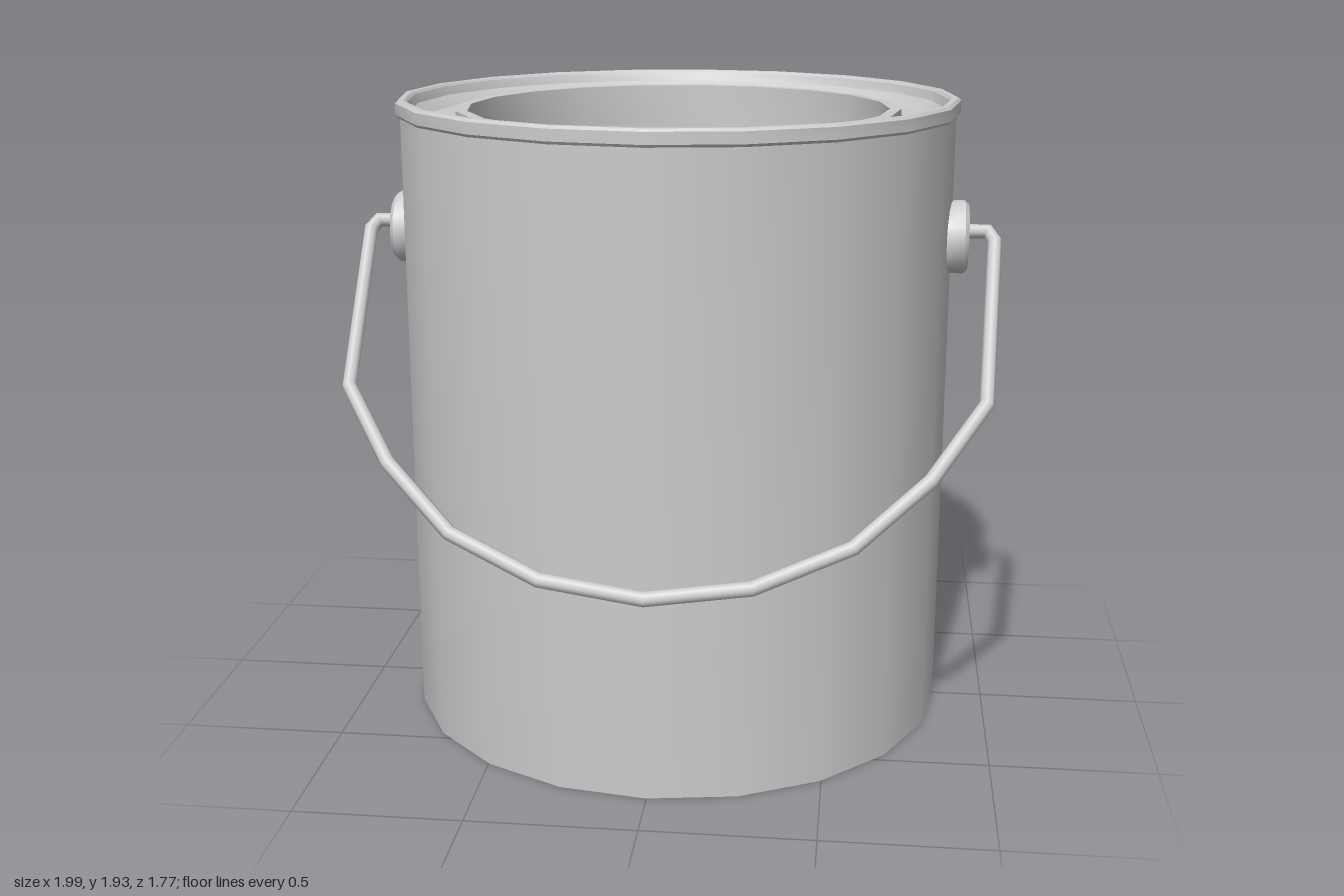
import * as THREE from 'three';
import { toCreasedNormals } from 'three/addons/utils/BufferGeometryUtils.js';

const CENTRE_Z = -0.03; // the can sits slightly back, the handle swings forward
const material = new THREE.MeshStandardMaterial({ color: 0xcccccc });

function addMesh(parent, name, geometry) {
  const mesh = new THREE.Mesh(geometry, material);
  mesh.name = name;
  parent.add(mesh);
  return mesh;
}

// Turned part with sharp profile edges and smooth sides
function turned(profile, sides) {
  const points = profile.map(([r, y]) => new THREE.Vector2(r, y));
  return toCreasedNormals(new THREE.LatheGeometry(points, sides), 0.5);
}

// Straight-segment path with one tube ring at each corner
class CornerPath extends THREE.Curve {
  constructor(points) {
    super();
    this.points = points;
  }
  getPointAt(u, target = new THREE.Vector3()) {
    return target.copy(this.points[Math.round(u * (this.points.length - 1))]);
  }
  getTangentAt(u, target = new THREE.Vector3()) {
    const p = this.points, last = p.length - 1, i = Math.round(u * last);
    const before = p[i].clone().sub(p[Math.max(i - 1, 0)]).normalize();
    const after = p[Math.min(i + 1, last)].clone().sub(p[i]).normalize();
    return target.copy(before.add(after).normalize());
  }
}

export function createModel() {
  const model = new THREE.Group();
  model.name = 'paintCan';

  // Outer shell and hollow inside
  const can = new THREE.Group();
  can.name = 'can';
  can.position.z = CENTRE_Z;
  model.add(can);
  addMesh(can, 'body', turned([
    [0, 0], [0.845, 0], [0.845, 1.9], [0.82, 1.9], [0.82, 0.02], [0, 0.02],
  ], 20));

  // Rolled rim around the top edge
  addMesh(can, 'rim', turned([
    [0.84, 1.885], [0.852, 1.885], [0.858, 1.893], [0.858, 1.927],
    [0.85, 1.935], [0.833, 1.935], [0.825, 1.927], [0.82, 1.87],
  ], 20));

  // Lid groove and the raised lip around the opening
  addMesh(can, 'lidGroove', turned([
    [0.825, 1.927], [0.815, 1.9], [0.78, 1.87], [0.68, 1.87], [0.68, 1.9],
    [0.645, 1.9], [0.645, 1.77], [0.68, 1.77], [0.68, 1.85], [0.82, 1.85],
  ], 20));

  // Handle ears on both sides
  const earGeometry = turned([
    [0, 0], [0.112, 0], [0.112, 0.058], [0.1, 0.07], [0, 0.07],
  ], 14);
  for (const side of [1, -1]) {
    const ear = addMesh(model, side > 0 ? 'leftEar' : 'rightEar', earGeometry);
    ear.position.set(side * 0.825, 1.512, CENTRE_Z);
    ear.rotation.z = -side * Math.PI / 2;
  }

  // Wire handle, leaning forward at 45 degrees
  const half = [
    [0.86, 1.53], [0.955, 1.53], [0.975, 1.505], [0.948, 1.1],
    [0.79, 0.92], [0.575, 0.765], [0.3, 0.67],
  ];
  const outline = [...half, [0, 0.638], ...half.map(([x, y]) => [-x, y]).reverse()];
  const path = new CornerPath(outline.map(([x, y]) =>
    new THREE.Vector3(x, y, CENTRE_Z + 1.53 - y)));
  addMesh(model, 'handle', new THREE.TubeGeometry(path, outline.length - 1, 0.023, 8));

  return model;
}
